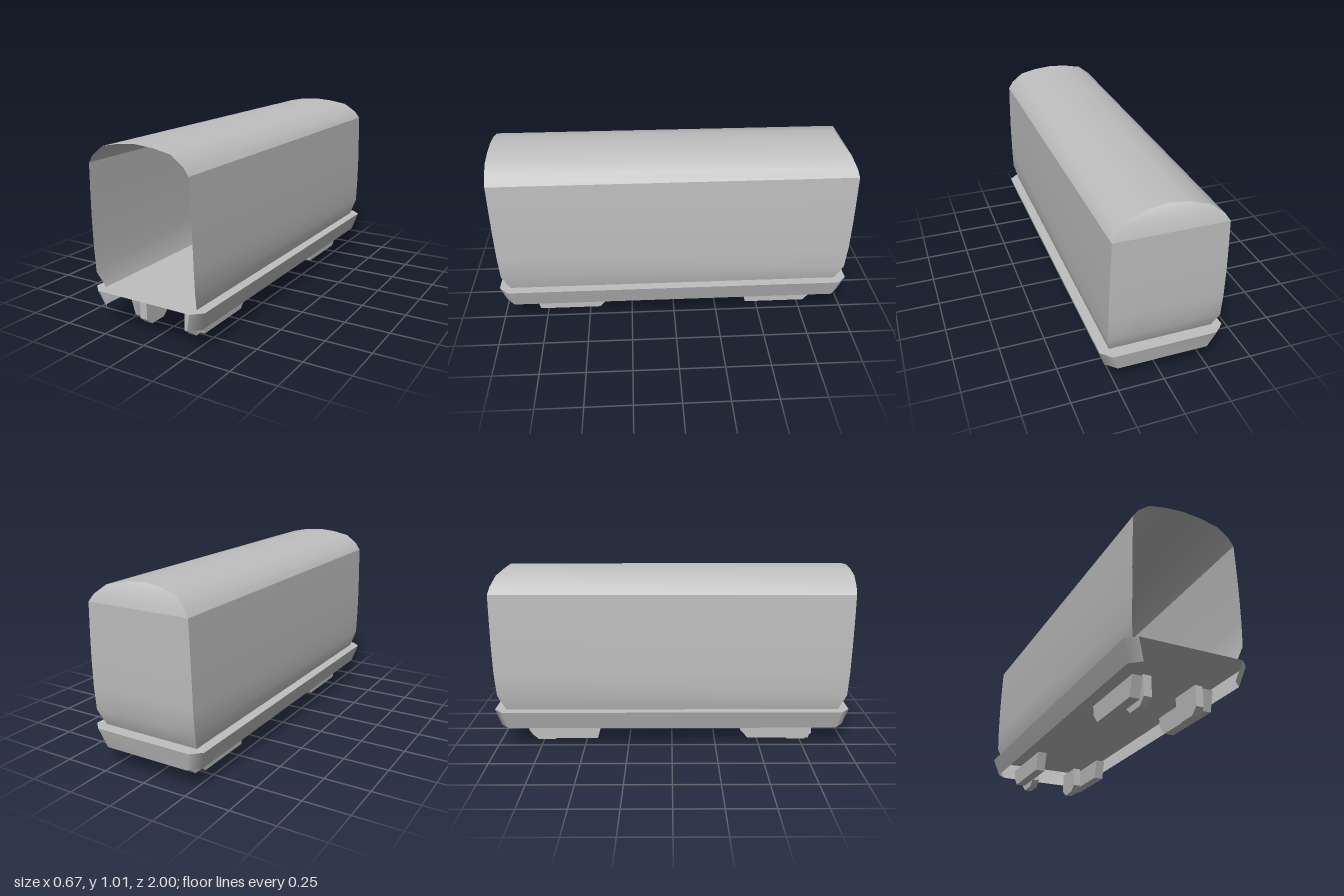
import * as THREE from 'three';

// Surface lofted through equal-length rows of [x, y, z] points
function loft(rows) {
  const n = rows[0].length, index = [];
  for (let r = 0; r < rows.length - 1; r++) {
    for (let i = 0; i < n - 1; i++) {
      const a = r * n + i, b = a + 1, c = a + n, d = c + 1;
      index.push(a, b, d, a, d, c);
    }
  }
  const g = new THREE.BufferGeometry();
  g.setAttribute('position', new THREE.Float32BufferAttribute(rows.flat(2), 3));
  g.setIndex(index);
  g.computeVertexNormals();
  return g;
}

// Plate with a side outline of [z, y] points, spanning x0..x1
function sidePlate(points, x0, x1) {
  const shape = new THREE.Shape(points.map(([z, y]) => new THREE.Vector2(-z, y)));
  const g = new THREE.ExtrudeGeometry(shape, { depth: x1 - x0, bevelEnabled: false });
  return g.rotateY(Math.PI / 2).translate(x0, 0, 0);
}

export function createModel() {
  const model = new THREE.Group();
  model.name = 'carriage';
  const grey = new THREE.MeshStandardMaterial({ color: 0xbfbfbf, side: THREE.DoubleSide });
  grey.name = 'grey';
  const add = (name, geometry, parent = model) => {
    const mesh = new THREE.Mesh(geometry, grey);
    mesh.name = name;
    parent.add(mesh);
    return mesh;
  };

  // Half sections: half width, height, front z, back z
  const wall = [
    [0.28, 0.23, 0.94, -0.935], [0.302, 0.32, 0.98, -0.977], [0.302, 0.45, 0.988, -0.988],
    [0.301, 0.6, 0.992, -0.992], [0.297, 0.75, 0.995, -0.994], [0.292, 0.89, 0.997, -0.995],
  ];
  const roof = [
    [0.292, 0.89, 0.997, -0.995], [0.265, 0.93, 0.998, -0.985], [0.2, 0.98, 0.999, -0.963],
    [0.1, 1.0, 1.0, -0.942], [0, 1.008, 1.0, -0.932],
  ];

  // Side walls, open at the front end
  for (const s of [1, -1]) {
    const rows = wall.map(([x, y, f, b]) => [[s * x, y, f], [s * x, y, b]]);
    add(s > 0 ? 'leftWall' : 'rightWall', loft(s > 0 ? rows.reverse() : rows));
  }

  // Arched roof
  const arch = [
    ...roof.map(([x, y, f, b]) => [[x, y, f], [x, y, b]]),
    ...roof.slice(0, -1).reverse().map(([x, y, f, b]) => [[-x, y, f], [-x, y, b]]),
  ];
  add('roof', loft(arch.reverse()));

  // Closed back end, with its rounded upper edge
  const across = ([x, y, , b]) => [1, 0.5, 0, -0.5, -1].map((t) => [x * t, y, b]);
  add('backWall', loft(wall.map(across)));
  add('backRoofEdge', loft(roof.map(across)));

  // Floor plate with cut corners
  const top = [[0.28, 1], [0.333, 0.95], [0.333, -0.95], [0.28, -1]];
  const bottom = [[0.245, 0.975], [0.3, 0.925], [0.3, -0.925], [0.245, -0.975]];
  const around = (half) => [...half, ...half.map(([x, z]) => [-x, z]).reverse()];
  const floorShape = new THREE.Shape(around(top).map(([x, z]) => new THREE.Vector2(x, -z)));
  add('floor', new THREE.ShapeGeometry(floorShape).rotateX(-Math.PI / 2).translate(0, 0.23, 0));

  // Sloping skirt, open at the front and underneath
  add('skirt', loft([
    around(bottom).map(([x, z]) => [x, 0.125, z]),
    around(top).map(([x, z]) => [x, 0.23, z]),
  ].reverse()));

  // Two bogies, each with a frame and a wheel block on either side
  const frame = [[0.82, 0.135], [0.79, 0.03], [0.44, 0.03], [0.395, 0.08], [0.39, 0.135]];
  const wheel = [[0.09, 0.145], [0.09, 0.035], [0.05, 0], [-0.05, 0], [-0.09, 0.035], [-0.09, 0.145]];
  for (const [name, frameZ, wheelZ] of [['frontBogie', 0, 0.73], ['backBogie', -1.22, -0.735]]) {
    const bogie = new THREE.Group();
    bogie.name = name;
    model.add(bogie);
    for (const s of [1, -1]) {
      const span = (a, b) => (s > 0 ? [a, b] : [-b, -a]);
      add('sideFrame', sidePlate(frame.map(([z, y]) => [z + frameZ, y]), ...span(0.167, 0.221)), bogie);
      add('wheelBlock', sidePlate(wheel.map(([z, y]) => [z + wheelZ, y]), ...span(0.12, 0.163)), bogie);
    }
  }
  return model;
}
